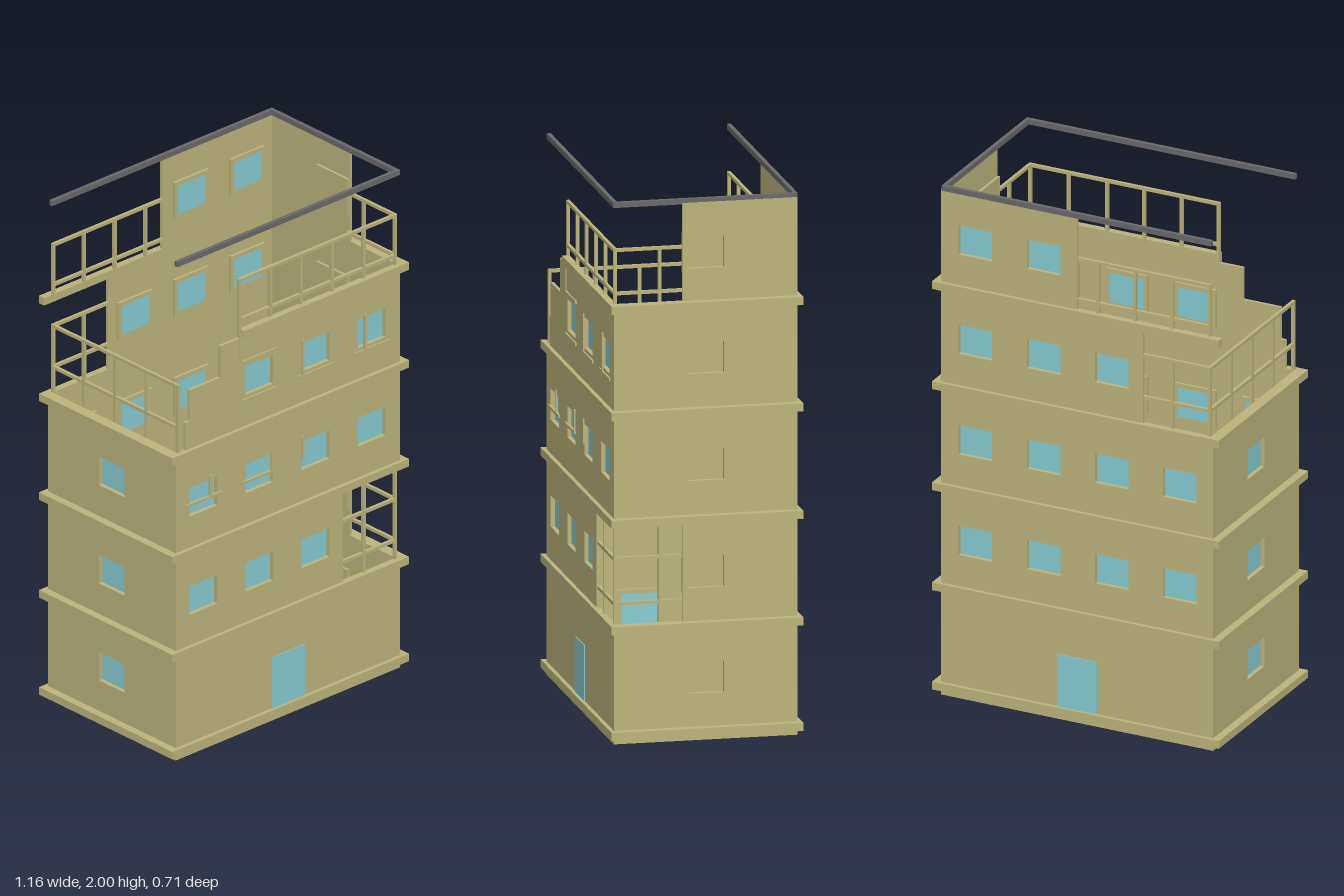
import * as THREE from 'three';

const X = 0.548, Z = 0.338, T = 0.012;          // outer wall planes and wall thickness
const W = 0.135, H = 0.115;                     // window opening
const LEVELS = [0, 0.42, 0.815, 1.215, 1.605, 1.985];
const WIN_Y = [0.23, 0.62, 1.015, 1.41, 1.8];
const COLS = [-0.413, -0.14, 0.135, 0.41];

const wallMat = new THREE.MeshStandardMaterial({ color: 0xbdb57c });
const glassMat = new THREE.MeshStandardMaterial({ color: 0x87cdd3 });
const rimMat = new THREE.MeshStandardMaterial({ color: 0x6a6a6a });
wallMat.name = 'khaki wall';
glassMat.name = 'blue glass';
rimMat.name = 'grey rim';

function addMesh(parent, name, geometry, material) {
  const mesh = new THREE.Mesh(geometry, material);
  mesh.name = name;
  parent.add(mesh);
  return mesh;
}

// Box given by its lower and upper corners
function box(parent, name, a, b, material = wallMat) {
  const s = a.map((v, i) => Math.abs(b[i] - v));
  const mesh = addMesh(parent, name, new THREE.BoxGeometry(...s), material);
  mesh.position.set(...a.map((v, i) => (v + b[i]) / 2));
  return mesh;
}

// Square bar between two points on one axis
function rod(parent, name, a, b, t = 0.012) {
  const lo = a.map((v, i) => Math.min(v, b[i]) - t / 2);
  const hi = a.map((v, i) => Math.max(v, b[i]) + t / 2);
  return box(parent, name, lo, hi);
}

const rect = (x0, y0, x1, y1) =>
  [[x0, y0], [x1, y0], [x1, y1], [x0, y1]].map(p => new THREE.Vector2(...p));

function plate(outline, holes, depth) {
  const shape = new THREE.Shape(outline);
  holes.forEach(h => shape.holes.push(new THREE.Path(h)));
  return new THREE.ExtrudeGeometry(shape, { depth, bevelEnabled: false });
}

// One storey of one side, with recessed windows; the outer face is at local z = 0
function wall(side, name, outline, windows, paneMat = glassMat) {
  const openings = windows.map(([u, y]) => rect(u - W / 2, y - H / 2, u + W / 2, y + H / 2));
  addMesh(side, name, plate(outline, openings, T), wallMat).position.z = -T;
  windows.forEach(([u, y], i) => {
    const outer = rect(u - W / 2 - 0.016, y - H / 2 - 0.016, u + W / 2 + 0.016, y + H / 2 + 0.016);
    addMesh(side, 'windowFrame', plate(outer, [openings[i]], 0.01), wallMat).position.z = -T - 0.01;
    box(side, 'windowPane', [u - W / 2, y - H / 2, -T - 0.01], [u + W / 2, y + H / 2, -T - 0.004], paneMat);
  });
}

function makeSide(parent, name, angle, x, z) {
  const side = new THREE.Group();
  side.name = name;
  side.rotation.y = angle;
  side.position.set(x, 0, z);
  parent.add(side);
  return side;
}

// Two rails with posts, along x or z
function railing(parent, name, axis, from, to, fixed, y0, rails, top, posts) {
  const g = new THREE.Group();
  g.name = name;
  parent.add(g);
  const at = (s, y) => (axis === 'x' ? [s, y, fixed] : [fixed, y, s]);
  rails.forEach(y => rod(g, 'rail', at(from, y), at(to, y)));
  posts.forEach(s => rod(g, 'post', at(s, y0), at(s, top)));
}

export function createModel() {
  const model = new THREE.Group();
  model.name = 'steppedBuilding';

  const front = makeSide(model, 'frontSide', 0, 0, Z);
  const back = makeSide(model, 'backSide', Math.PI, 0, -Z);
  const right = makeSide(model, 'eastSide', Math.PI / 2, X, 0);
  const left = makeSide(model, 'westSide', -Math.PI / 2, -X, 0);
  const row = (i, cols) => cols.map(c => [c, WIN_Y[i]]);
  const storey = (i, u0, u1) => rect(u0, LEVELS[i], u1, LEVELS[i + 1]);

  // Front: plain base, open corner on the second storey, stepped ruin on the fourth
  wall(front, 'frontBase', storey(0, -X, X), []);
  wall(front, 'frontWall', storey(1, -X, 0.27), row(1, COLS.slice(0, 3)));
  wall(front, 'frontWall', storey(2, -X, X), row(2, COLS));
  const steps = [[-0.5, 1.215], [X, 1.215], [X, 1.605], [-0.23, 1.605], [-0.23, 1.59], [-0.33, 1.59],
    [-0.33, 1.465], [-0.48, 1.465], [-0.48, 1.34], [-0.5, 1.34]].map(p => new THREE.Vector2(...p));
  wall(front, 'steppedFrontWall', steps, row(3, COLS.slice(1)));

  // Back: the local axis runs opposite to x
  const mirrored = COLS.map(c => -c);
  wall(back, 'backBase', storey(0, -X, X), []);
  wall(back, 'backWall', storey(1, -X, X), row(1, mirrored));
  wall(back, 'backWall', storey(2, -X, X), row(2, mirrored));
  wall(back, 'backWall', storey(3, -X, 0.265), row(3, mirrored.slice(1)));
  wall(back, 'backWall', storey(4, -X, 0), row(4, mirrored.slice(2)));

  // East and west ends
  for (let i = 0; i < 5; i++) {
    const open = i === 1 || i === 4;
    wall(right, 'eastWall', storey(i, open ? -0.085 : -Z, Z), row(i, [0]), wallMat);
    if (i < 3) wall(left, 'westWall', storey(i, -Z, Z), row(i, [0]));
  }

  // Doors, front and back, seen from both faces
  for (const s of [front, back]) {
    box(s, 'door', [-0.08, 0.05, -T - 0.002], [0.08, 0.255, -T + 0.001], glassMat);
    box(s, 'doorFace', [-0.08, 0.05, -0.003], [0.08, 0.255, 0.003], glassMat);
  }

  // Ground slab
  box(model, 'groundSlab', [-X, 0, -Z], [X, 0.012, Z]);

  // Ledges around each storey; the highest is broken at the west end
  const LX = 0.578, LZ = 0.353;
  [0.02, 0.41, 0.803, 1.2, 1.593].forEach((y, i) => {
    const top = y + 0.03, broken = i === 4;
    box(model, 'frontLedge', [broken ? -0.23 : -LX, y, Z - T], [LX, top, LZ]);
    box(model, 'backLedge', [-LX, y, -LZ], [LX, top, -Z + T]);
    box(model, 'eastLedge', [X - T, y, -Z + T], [LX, top, Z - T]);
    if (!broken) box(model, 'westLedge', [-LX, y, -Z + T], [-X + T, top, Z - T]);
  });

  // Grey roof rim on three sides
  for (const s of [-1, 1]) {
    box(model, 'roofRim', [-0.54, 1.98, s * 0.324], [0.547, 2, s * 0.339], rimMat);
  }
  box(model, 'roofRim', [0.532, 1.98, -0.324], [0.547, 2, 0.324], rimMat);

  // Railings of the roof terrace
  const P = [-0.53, -0.38, -0.23, -0.08, 0.07, 0.22, 0.375, 0.53];
  const topRails = [1.66, 1.82];
  railing(model, 'frontRoofRailing', 'x', -0.23, 0.53, 0.33, 1.6, topRails, 1.82, P.slice(2));
  railing(model, 'backRoofRailing', 'x', -0.53, 0, -0.33, 1.6, topRails, 1.82, P.slice(0, 4));
  railing(model, 'eastRoofRailing', 'z', 0.085, 0.33, 0.53, 1.6, topRails, 1.82, [0.165]);

  // Railings of the lower, broken terrace
  const lowRails = [1.33, 1.495];
  railing(model, 'backTerraceRailing', 'x', -0.53, -0.265, -0.33, 1.22, lowRails, 1.495, [-0.53, -0.38]);
  railing(model, 'westTerraceRailing', 'z', -0.33, 0.33, -0.53, 1.22, lowRails, 1.495, [-0.165, 0, 0.165, 0.33]);
  rod(model, 'hangingPost', [-0.23, 1.49, 0.335], [-0.23, 1.6, 0.335]);

  // Rails of the open second-storey corner
  railing(model, 'frontCornerRailing', 'x', 0.27, 0.53, 0.33, 0.43, [0.515, 0.68], 0.81, [0.375, 0.53]);
  railing(model, 'eastCornerRailing', 'z', 0.085, 0.33, 0.53, 0.43, [0.515, 0.68], 0.81, [0.165]);

  // Loose bars across the front windows
  const barZ = Z + 0.001;
  [[-0.5, -0.33], [-0.22, -0.075]].forEach(([a, b]) => rod(model, 'windowBar', [a, 1.005, barZ], [b, 1.005, barZ], 0.01));
  [-0.38, -0.08, 0.07].forEach(x => rod(model, 'windowBar', [x, 1.005, barZ], [x, 1.085, barZ], 0.01));
  COLS.slice(1).forEach(x => rod(model, 'windowSill', [x - 0.08, 1.335, barZ], [x + 0.08, 1.335, barZ], 0.01));
  rod(model, 'windowBar', [-0.22, 1.49, barZ], [-0.06, 1.49, barZ], 0.01);
  [0.07, 0.375].forEach(x => rod(model, 'windowBar', [x, 1.34, barZ], [x, 1.475, barZ], 0.01));

  return model;
}
